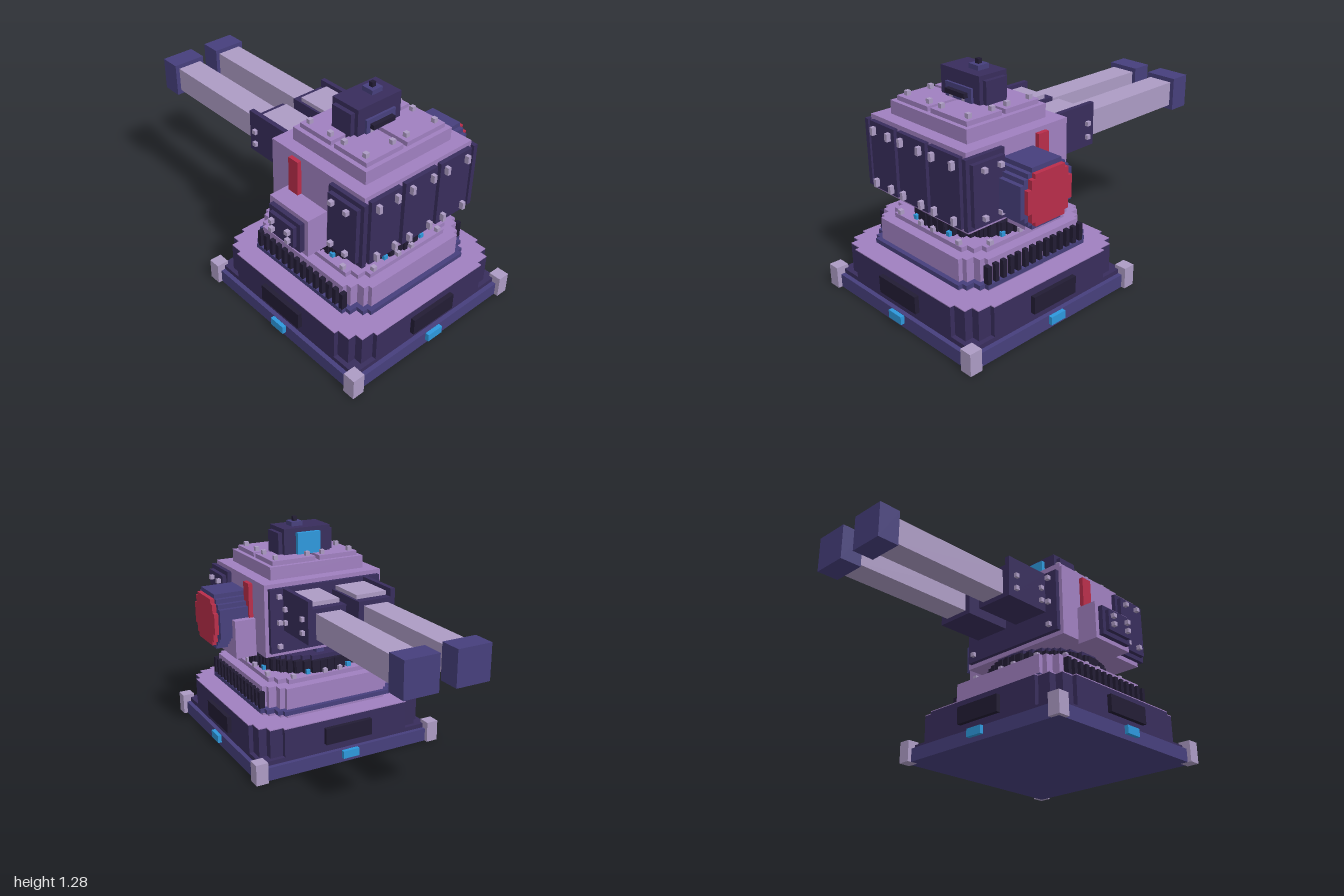
import * as THREE from 'three';

const U = 0.024; // one block
const CZ = 0.423; // z of the base axis

const paint = (color) => new THREE.MeshStandardMaterial({ color, flatShading: true });
const M = {
  purple: paint(0xa080c0), dark: paint(0x382d5c), indigo: paint(0x463f7c), grey: paint(0xac9bc4),
  black: paint(0x221c34), red: paint(0xb92d4a), blue: paint(0x2d98dc),
};

// Outline with staircase corners; steps are [x, y] outer corners from the +x side to the +y side
function steppedShape(steps) {
  const quarter = [];
  steps.forEach(([x, y], i) => {
    if (i > 0) quarter.push([x, steps[i - 1][1]]);
    quarter.push([x, y]);
  });
  const back = [...quarter].reverse();
  const pts = [
    ...quarter, ...back.map(([x, y]) => [-x, y]),
    ...quarter.map(([x, y]) => [-x, -y]), ...back.map(([x, y]) => [x, -y]),
  ];
  return new THREE.Shape(pts.map(([x, y]) => new THREE.Vector2(x, y)));
}

// Rectangle with notched corners
const notched = (hw, hd, insets) =>
  steppedShape(insets.map((d, i) => [hw - d, hd - insets[insets.length - 1 - i]]));

// Disc made of blocks
function blockDisc(r) {
  const steps = [];
  const n = Math.round(r / U);
  for (let i = 0; i < n; i++) {
    const y = (i + 1) * U - U / 2;
    const x = Math.round(Math.sqrt(Math.max(0, r * r - (y - U / 2) ** 2)) / U) * U;
    if (x <= 0) break;
    const last = steps[steps.length - 1];
    if (last && last[0] === x) last[1] = y;
    else steps.push([x, y]);
  }
  return steppedShape(steps);
}

export function createModel() {
  const model = new THREE.Group();
  model.name = 'turret';

  const add = (parent, name, mat, geo) => {
    const mesh = new THREE.Mesh(geo, M[mat]);
    mesh.name = name;
    parent.add(mesh);
    return mesh;
  };
  const group = (name) => {
    const g = new THREE.Group();
    g.name = name;
    model.add(g);
    return g;
  };
  const box = (parent, name, mat, x0, x1, y0, y1, z0, z1) =>
    add(parent, name, mat, new THREE.BoxGeometry(x1 - x0, y1 - y0, z1 - z0)
      .translate((x0 + x1) / 2, (y0 + y1) / 2, (z0 + z1) / 2));
  // Box on both sides of x = 0
  const pair = (parent, name, mat, x0, x1, ...rest) => {
    box(parent, name + 'Left', mat, x0, x1, ...rest);
    box(parent, name + 'Right', mat, -x1, -x0, ...rest);
  };
  const bolt = (parent, x, y, z, w = U, h = U, d = U, mat = 'grey') =>
    box(parent, mat === 'blue' ? 'light' : 'bolt', mat, x - w / 2, x + w / 2, y - h / 2, y + h / 2, z - d / 2, z + d / 2);
  const slab = (parent, name, mat, shape, y0, y1, z = CZ) =>
    add(parent, name, mat, new THREE.ExtrudeGeometry(shape, { depth: y1 - y0, bevelEnabled: false })
      .rotateX(-Math.PI / 2).translate(0, y0, z));

  // Plinth with corner feet, lights and vents on four sides
  const base = group('base');
  box(base, 'plinth', 'indigo', -0.555, 0.555, 0, 0.075, CZ - 0.555, CZ + 0.555);
  box(base, 'baseLedge', 'dark', -0.53, 0.53, 0.075, 0.1, CZ - 0.53, CZ + 0.53);
  const baseShape = notched(0.53, 0.53, [0, 0.025, 0.07, 0.145]);
  slab(base, 'baseWall', 'dark', baseShape, 0.1, 0.261);
  slab(base, 'baseDeck', 'purple', baseShape, 0.261, 0.266);
  for (const s of [-1, 1]) {
    const z = CZ + s * 0.543;
    pair(base, 'foot', 'grey', 0.508, 0.578, 0, 0.12, z - 0.035, z + 0.035);
    const v = CZ + s * 0.542, l = CZ + s * 0.555;
    box(base, 'vent', 'black', -0.145, 0.145, 0.125, 0.22, v - 0.013, v + 0.013);
    box(base, 'baseLight', 'blue', -0.05, 0.05, 0.028, 0.073, l - 0.022, l + 0.022);
  }
  pair(base, 'sideVent', 'black', 0.53, 0.555, 0.125, 0.22, CZ - 0.145, CZ + 0.145);
  pair(base, 'sideLight', 'blue', 0.55, 0.577, 0.028, 0.073, CZ - 0.048, CZ + 0.048);

  // Middle tier with trim band and side grilles
  const tier = group('middleTier');
  const tierSteps = [0, 0.025, 0.07, 0.1];
  slab(tier, 'tierWall', 'purple', notched(0.408, 0.408, tierSteps), 0.266, 0.435);
  slab(tier, 'tierBand', 'indigo', notched(0.433, 0.433, tierSteps), 0.291, 0.315);
  slab(tier, 'tierTop', 'purple', notched(0.35, 0.35, [0, 0.035, 0.085]), 0.435, 0.46);
  for (let i = 0; i < 14; i++) {
    const z = 0.1 + i * 0.0485;
    pair(tier, 'grilleSlat', 'black', 0.4, 0.432, 0.315, 0.41, z, z + U);
  }
  for (const s of [-1, 1])
    for (const x of [-0.23, -0.06, 0.035, 0.23]) {
      bolt(tier, x, 0.472, CZ + s * 0.337);
      bolt(tier, s * 0.337, 0.472, CZ + x);
    }

  // Toothed turntable with lights and neck
  const ring = group('turntable');
  slab(ring, 'turntableRing', 'black', blockDisc(0.325), 0.435, 0.53);
  slab(ring, 'turntableCap', 'dark', blockDisc(0.305), 0.53, 0.555);
  for (let i = 0; i < 44; i++) {
    const a = (i / 44) * Math.PI * 2;
    bolt(ring, Math.cos(a) * 0.322, 0.495, CZ + Math.sin(a) * 0.322, U, 0.07, U, 'black').name = 'tooth';
  }
  for (let i = 0; i < 8; i++) {
    const a = ((i + 0.5) / 8) * Math.PI * 2;
    bolt(ring, Math.cos(a) * 0.337, 0.472, CZ + Math.sin(a) * 0.337, U, U, U, 'blue');
  }
  box(ring, 'neck', 'indigo', 0, 0.048, 0.55, 0.585, 0.16, 0.72);

  // Turret body with armour panels
  const body = group('turretBody');
  box(body, 'hull', 'purple', -0.362, 0.362, 0.58, 0.988, 0.155, 0.808);
  box(body, 'rearPlate', 'dark', -0.34, 0.34, 0.605, 0.965, 0.13, 0.157);
  for (const [x0, x1] of [[-0.34, -0.145], [-0.12, 0.096], [0.12, 0.34]]) {
    box(body, 'frontPanel', 'dark', x0, x1, 0.605, 0.965, 0.8, 0.832);
    for (const x of [x0 + 0.037, x1 - 0.037])
      for (const y of [0.64, 0.92]) bolt(body, x, y, 0.844, 0.02, 0.042, U);
  }
  pair(body, 'sidePanel', 'dark', 0.36, 0.386, 0.605, 0.965, 0.595, 0.83);
  pair(body, 'sidePanelPlate', 'dark', 0.386, 0.41, 0.63, 0.94, 0.615, 0.808);
  for (const s of [-1, 1])
    for (const z of [0.65, 0.75])
      for (const y of [0.665, 0.905]) bolt(body, s * 0.422, y, z);
  for (const x of [-0.29, 0.29])
    for (const y of [0.645, 0.78, 0.925]) bolt(body, x, y, 0.12);
  pair(body, 'sideStripe', 'red', 0.36, 0.386, 0.605, 0.965, 0.305, 0.373);
  pair(body, 'sideBox', 'purple', 0.36, 0.483, 0.557, 0.772, 0.278, 0.56);

  // Hatch on the right side box
  box(body, 'hatch', 'dark', -0.51, -0.48, 0.58, 0.748, 0.305, 0.535);
  box(body, 'hatchPlate', 'dark', -0.532, -0.505, 0.605, 0.724, 0.33, 0.51);
  for (const y of [0.64, 0.69])
    for (const z of [0.36, 0.48]) bolt(body, -0.543, y, z);

  // Drum on the left side
  const drum = (name, mat, r, x0, x1) =>
    add(body, name, mat, new THREE.ExtrudeGeometry(blockDisc(r), { depth: x1 - x0, bevelEnabled: false })
      .rotateY(Math.PI / 2).translate(x0, 0.75, 0.487));
  drum('drum', 'indigo', 0.172, 0.36, 0.552);
  drum('drumCap', 'red', 0.15, 0.55, 0.576);

  // Roof with four bolted plates
  const roof = group('roof');
  box(roof, 'roofStep', 'purple', -0.29, 0.288, 0.985, 1.06, 0.228, 0.737);
  for (const [x0, x1] of [[-0.265, -0.025], [0, 0.263]])
    for (const [z0, z1] of [[0.252, 0.473], [0.495, 0.713]]) {
      box(roof, 'roofPlate', 'purple', x0, x1, 1.055, 1.085, z0, z1);
      for (const x of [x0 + 0.034, x1 - 0.034])
        for (const z of [z0 + 0.034, z1 - 0.04]) bolt(roof, x, 1.097, z);
    }

  // Sensor head
  const head = group('sensorHead');
  box(head, 'headWide', 'dark', -0.17, 0.166, 1.06, 1.206, 0.375, 0.505);
  box(head, 'headCore', 'dark', -0.145, 0.142, 1.06, 1.23, 0.35, 0.527);
  box(head, 'rearWindow', 'blue', -0.072, 0.07, 1.085, 1.206, 0.325, 0.352);
  box(head, 'slitFrame', 'indigo', -0.098, 0.095, 1.085, 1.16, 0.52, 0.54);
  box(head, 'slit', 'black', -0.075, 0.07, 1.11, 1.135, 0.535, 0.565);
  box(head, 'antennaBase', 'indigo', 0, 0.07, 1.23, 1.255, 0.4, 0.47);
  box(head, 'antenna', 'black', 0.023, 0.047, 1.255, 1.28, 0.423, 0.447);

  // Twin guns pointing back
  const guns = group('guns');
  pair(guns, 'sleeve', 'dark', 0.038, 0.262, 0.73, 0.92, -0.155, 0.135);
  pair(guns, 'sleeveSide', 'dark', 0.235, 0.262, 0.73, 0.965, -0.155, 0.135);
  pair(guns, 'sleeveTop', 'grey', 0.052, 0.238, 0.915, 0.943, -0.108, 0.118);
  pair(guns, 'barrel', 'grey', 0.07, 0.216, 0.755, 0.895, -0.9, -0.15);
  pair(guns, 'muzzle', 'indigo', 0.048, 0.24, 0.73, 0.92, -1, -0.88);
  for (const s of [-1, 1])
    for (const y of [0.785, 0.86])
      for (const z of [-0.105, 0.09]) bolt(guns, s * 0.268, y, z);

  return model;
}
